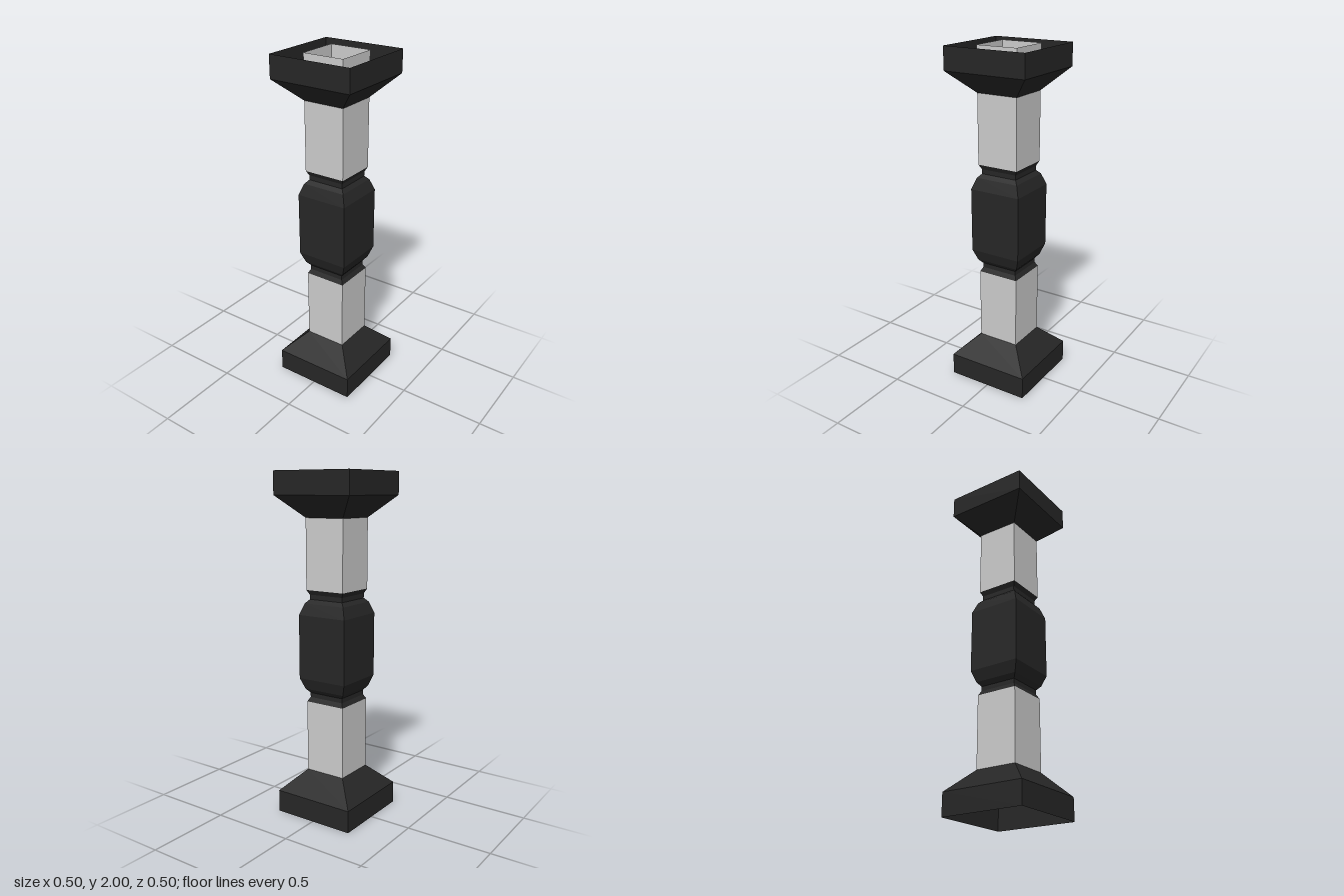
import * as THREE from 'three';

const grey = new THREE.MeshStandardMaterial({ color: 0xcccccc, flatShading: true, side: THREE.DoubleSide });
const dark = new THREE.MeshStandardMaterial({ color: 0x262626, flatShading: true, side: THREE.DoubleSide });

// Open square shell from a profile of [half width, height] points, bottom to top
function squareShell(name, profile, material) {
  const points = profile.map(([half, y]) => new THREE.Vector2(half * Math.SQRT2, y));
  const geometry = new THREE.LatheGeometry(points, 4).rotateY(Math.PI / 4).toNonIndexed();
  geometry.computeVertexNormals();
  const mesh = new THREE.Mesh(geometry, material);
  mesh.name = name;
  return mesh;
}

export function createModel() {
  const group = new THREE.Group();
  group.name = 'column';

  group.add(
    // Hollow foot, sloping in to the shaft
    squareShell('base', [[0.25, 0], [0.25, 0.132], [0.125, 0.257]], dark),
    squareShell('lowerShaft', [[0.125, 0.257], [0.125, 0.682]], grey),
    // Swollen middle between two narrow necks
    squareShell('middleBulge', [
      [0.125, 0.682], [0.111, 0.708], [0.111, 0.735], [0.132, 0.76], [0.156, 0.826],
      [0.156, 1.2], [0.132, 1.266], [0.111, 1.288], [0.111, 1.315], [0.125, 1.342],
    ], dark),
    // Upper shaft runs up inside the hollow capital to its rim
    squareShell('upperShaft', [[0.125, 1.342], [0.125, 2]], grey),
    squareShell('capital', [[0.125, 1.746], [0.25, 1.869], [0.25, 2]], dark),
  );

  return group;
}
